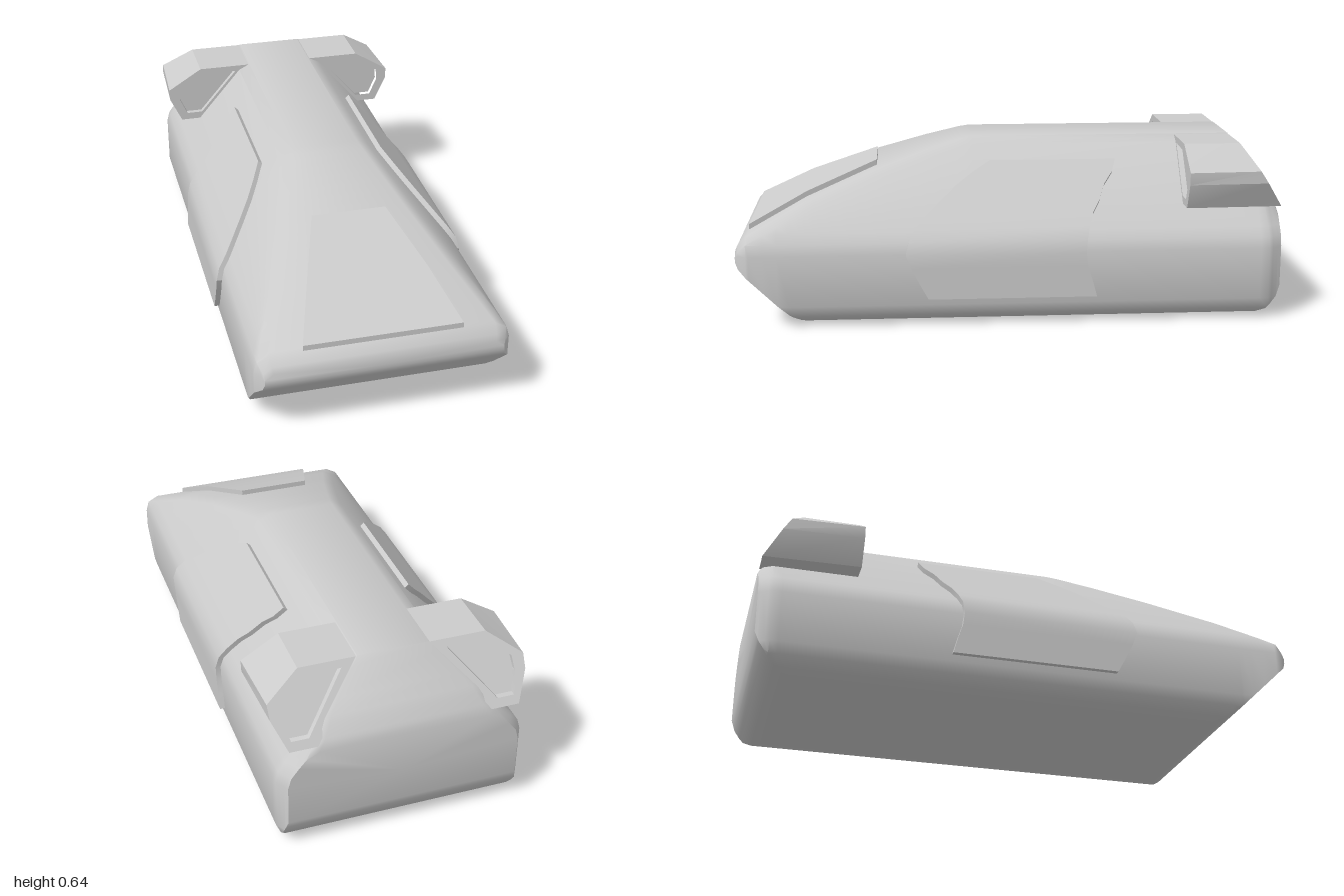
import * as THREE from 'three';
import { toCreasedNormals } from 'three/addons/utils/BufferGeometryUtils.js';

const material = new THREE.MeshStandardMaterial({ color: 0xcccccc });

// Linear interpolation in a table of [key, value] rows with rising keys
function lerpTable(table, k) {
  if (k <= table[0][0]) return table[0][1];
  for (let i = 1; i < table.length; i++) {
    const [k0, v0] = table[i - 1], [k1, v1] = table[i];
    if (k <= k1) return v0 + (v1 - v0) * (k - k0) / (k1 - k0);
  }
  return table[table.length - 1][1];
}

// Half width of the hull by height
const widthAt = [[0, 0.32], [0.012, 0.39], [0.04, 0.43], [0.08, 0.447], [0.27, 0.447],
  [0.31, 0.436], [0.345, 0.41], [0.645, 0.152]];
// Roof line, floor line and corner inset along z
const roof = [[-1, 0.4], [-0.99, 0.43], [-0.965, 0.48], [-0.85, 0.645], [0.13, 0.645], [0.17, 0.638],
  [0.3, 0.602], [0.5, 0.537], [0.75, 0.44], [0.96, 0.333], [0.99, 0.305], [1, 0.285]];
const floor = [[-1, 0.12], [-0.985, 0.08], [-0.95, 0.03], [-0.92, 0.012], [-0.87, 0], [0.72, 0],
  [0.77, 0.015], [0.81, 0.045], [0.99, 0.22], [1, 0.245]];
const inset = [[-1, 0.03], [-0.95, 0], [0.96, 0], [1, 0.03]];

// Closed skin over a row of rings, capped at both ends
function loft(rings, crease) {
  const tris = [];
  const add = (a, b, c) => {
    const area = b.clone().sub(a).cross(c.clone().sub(a)).length();
    if (area > 1e-8) tris.push([a, b, c]);
  };
  const n = rings[0].length;
  for (let i = 0; i + 1 < rings.length; i++) {
    for (let j = 0; j < n; j++) {
      const k = (j + 1) % n, r = rings[i], s = rings[i + 1];
      add(r[j], r[k], s[k]);
      add(r[j], s[k], s[j]);
    }
  }
  [rings[0], rings[rings.length - 1]].forEach((ring, end) => {
    const mid = ring.reduce((m, p) => m.add(p), new THREE.Vector3()).divideScalar(n);
    for (let j = 0; j < n; j++) {
      const a = ring[j], b = ring[(j + 1) % n];
      if (end) add(mid, a, b); else add(mid, b, a);
    }
  });
  // Turn the skin outward if its volume is negative
  const volume = tris.reduce((v, [a, b, c]) => v + a.dot(b.clone().cross(c)), 0);
  const points = tris.flatMap(([a, b, c]) => (volume < 0 ? [a, c, b] : [a, b, c]));
  return toCreasedNormals(new THREE.BufferGeometry().setFromPoints(points), crease);
}

function addMesh(parent, name, geometry) {
  const mesh = new THREE.Mesh(geometry, material);
  mesh.name = name;
  parent.add(mesh);
}

// Hull cross-section at z: the width profile cut off by floor and roof
function hullRing(z) {
  const top = lerpTable(roof, z), bottom = lerpTable(floor, z), cut = lerpTable(inset, z);
  const half = widthAt.map(([y]) => {
    const h = Math.min(Math.max(y, bottom), top - 0.022);
    return [lerpTable(widthAt, h) - cut, h];
  });
  half.push([lerpTable(widthAt, top) - cut - 0.025, top]);
  const right = half.map(([x, y]) => new THREE.Vector3(x, y, z));
  const left = half.map(([x, y]) => new THREE.Vector3(-x, y, z)).reverse();
  return [...right, ...left];
}

function hullGeometry() {
  const stations = [...roof, ...floor, ...inset].map(([z]) => z);
  for (let z = 0.2; z < 0.96; z += 0.05) stations.push(z);
  const zs = [...new Set(stations.map((z) => +z.toFixed(3)))].sort((a, b) => a - b);
  return loft(zs.map(hullRing), 0.7);
}

// Raised nose hatch following the roof line
function hatchGeometry() {
  const rings = [0.49, 0.5, 0.6, 0.75, 0.85, 0.96].map((z) => {
    const x = THREE.MathUtils.mapLinear(z, 0.49, 0.96, 0.135, 0.28);
    const y = lerpTable(roof, z);
    return [[-x, y - 0.02], [x, y - 0.02], [x, y + 0.02], [-x, y + 0.02]]
      .map(([px, py]) => new THREE.Vector3(px, py, z));
  });
  return loft(rings, 0.5);
}

// Raised side door: rows of [height, rear z, front z]
const doorRows = [[0.105, -0.31, 0.305], [0.16, -0.295, 0.335], [0.22, -0.276, 0.365], [0.27, -0.27, 0.385],
  [0.31, -0.275, 0.375], [0.345, -0.285, 0.355], [0.39, -0.302, 0.305], [0.43, -0.33, 0.26],
  [0.48, -0.352, 0.2], [0.52, -0.385, 0.14], [0.56, -0.4, 0.07]];

function doorGeometry(side) {
  const rings = doorRows.map(([y, rear, front]) => {
    const tilt = THREE.MathUtils.smoothstep(y, 0.26, 0.36) * 0.71;
    const nx = Math.cos(tilt) * 0.019, ny = Math.sin(tilt) * 0.019;
    const x = lerpTable(widthAt, y);
    const at = (s, z) => new THREE.Vector3(side * (x + s * nx), y + s * ny, z);
    return [at(1, front), at(1, rear), at(-1, rear), at(-1, front)];
  });
  return loft(rings, 0.5);
}

// Rear pods: an outer shell with a recessed panel at the front and on the sloping back
const podOutline = [[0.12, 0.643], [0.335, 0.643], [0.469, 0.56], [0.467, 0.515], [0.422, 0.42], [0.31, 0.42]];
const podOpening = [[0.187, 0.62], [0.325, 0.614], [0.425, 0.56], [0.428, 0.515], [0.398, 0.448], [0.336, 0.448]];

function podGeometry(outline, opening, side, recess) {
  const toPoints = (pts) => pts.map(([x, y]) => new THREE.Vector2(side * x, y));
  const shape = new THREE.Shape(toPoints(outline));
  if (opening) shape.holes.push(new THREE.Path(toPoints(opening)));
  const geometry = new THREE.ExtrudeGeometry(shape, { depth: 1, bevelEnabled: false });
  const p = geometry.attributes.position;
  for (let i = 0; i < p.count; i++) {
    const y = p.getY(i);
    if (p.getZ(i) > 0.5) {
      p.setZ(i, -0.642 - recess);
    } else {
      // Slanted back, slightly narrower at the outer end
      p.setZ(i, THREE.MathUtils.mapLinear(y, 0.42, 0.643, -0.995, -0.85) + recess);
      if (Math.abs(p.getX(i)) > 0.4) p.setX(i, p.getX(i) - side * 0.012);
    }
  }
  return toCreasedNormals(geometry, 0.4);
}

export function createModel() {
  const model = new THREE.Group();
  model.name = 'wedgeVehicle';
  addMesh(model, 'hull', hullGeometry());
  addMesh(model, 'noseHatch', hatchGeometry());
  for (const [label, side] of [['left', 1], ['right', -1]]) {
    addMesh(model, label + 'Door', doorGeometry(side));
    addMesh(model, label + 'PodShell', podGeometry(podOutline, podOpening, side, 0));
    addMesh(model, label + 'PodPanel', podGeometry(podOpening, null, side, 0.02));
  }
  return model;
}
